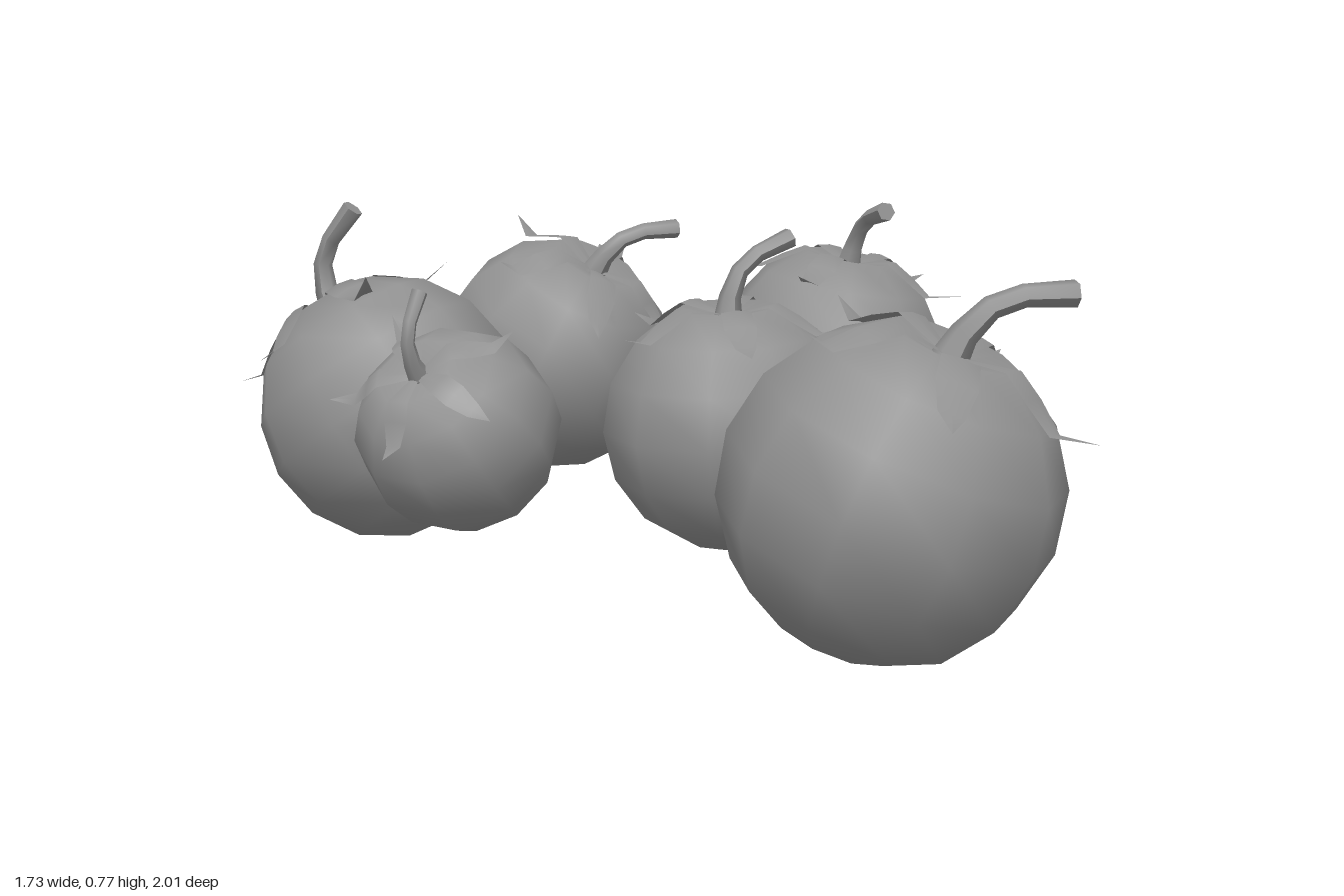
import * as THREE from 'three';

const material = new THREE.MeshStandardMaterial({ color: 0x919191 });
const leafMaterial = new THREE.MeshStandardMaterial({ color: 0x919191, side: THREE.DoubleSide });
const rad = THREE.MathUtils.degToRad;

// Fruit: ten-sided ball of unit radius with a dimple on top
function fruitGeometry() {
  const profile = [new THREE.Vector2(0, -0.96)];
  for (let i = 1; i < 8; i++) {
    const a = (i / 8) * Math.PI;
    profile.push(new THREE.Vector2(Math.sin(a), -Math.cos(a)));
  }
  profile[1].y = -0.91;
  profile.push(new THREE.Vector2(0, 0.82));
  return new THREE.LatheGeometry(profile, 10);
}

// Sepal: pointed leaf that follows the fruit, then lifts off toward its tip
function sepalGeometry(reach, tipHeight) {
  const rows = [ // [distance from axis, height, half width]
    [0.03, 0.87, 0.04],
    [0.38, 0.955, 0.115],
    [0.55, 0.86, 0.125],
    [0.74, 0.735, 0.08],
    [reach, tipHeight, 0],
  ];
  const geometry = new THREE.PlaneGeometry(2, 1, 2, rows.length - 1);
  const p = geometry.attributes.position;
  for (let i = 0; i < p.count; i++) {
    const [r, h, w] = rows[Math.floor(i / 3)];
    const side = p.getX(i);
    p.setXYZ(i, r, h - Math.abs(side) * w * 0.12, side * w);
  }
  geometry.computeVertexNormals();
  return geometry;
}

// Stem: six-sided rod bent toward +x, flared at both ends
function stemGeometry() {
  const path = [ // [x, y, radius]
    [0, 0.78, 0.12],
    [0.03, 1.0, 0.085],
    [0.12, 1.19, 0.07],
    [0.28, 1.31, 0.068],
    [0.57, 1.41, 0.08],
  ];
  const last = path.length - 1;
  const geometry = new THREE.CylinderGeometry(1, 1, 1, 6, last);
  const p = geometry.attributes.position;
  for (let i = 0; i < p.count; i++) {
    const k = Math.round((p.getY(i) + 0.5) * last);
    const [x, y, r] = path[k];
    const a = path[Math.max(k - 1, 0)], b = path[Math.min(k + 1, last)];
    const t = new THREE.Vector2(b[0] - a[0], b[1] - a[1]).normalize();
    const across = p.getX(i) * r;
    p.setXYZ(i, x + t.y * across, y - t.x * across, p.getZ(i) * r);
  }
  geometry.computeVertexNormals();
  return geometry;
}

export function createModel() {
  const group = new THREE.Group();
  group.name = 'tomatoes';
  const fruit = fruitGeometry();
  const stem = stemGeometry();
  // Sepals: angle around the stem, reach, tip height
  const sepals = [
    [-113, 0.98, 0.8], [-49, 1.04, 0.8], [46, 1, 0.8], [106, 0.97, 0.69], [174, 0.93, 0.78],
  ].map(([angle, reach, tip]) => sepalGeometry(reach, tip).rotateY(-rad(angle)));

  // Placement: centre, radius, direction of the top, turn about that direction
  const tomatoes = [
    ['frontTomato', [0.027, 0.3, 0.67], 0.32, [0.075, 0.25, 0.065], 10],
    ['middleTomato', [0.067, 0.291, -0.06], 0.27, [-0.01, 0.25, 0], 0],
    ['backTomato', [-0.057, 0.348, -0.74], 0.27, [0.07, 0.215, 0.095], -3],
    ['leftTomato', [0.575, 0.31, -0.552], 0.277, [0.035, 0.23, 0.02], 97],
    ['rightTomato', [-0.568, 0.325, -0.39], 0.278, [-0.1, 0.22, -0.105], 42],
    ['smallTomato', [-0.603, 0.373, 0.128], 0.196, [-0.105, 0.13, 0.065], -30],
  ];
  const up = new THREE.Vector3(0, 1, 0);
  for (const [name, centre, radius, top, turn] of tomatoes) {
    const tomato = new THREE.Group();
    tomato.name = name;
    const add = (part, geometry, mat) => {
      const mesh = new THREE.Mesh(geometry, mat);
      mesh.name = part;
      tomato.add(mesh);
    };
    add('fruit', fruit, material);
    add('stem', stem, material);
    sepals.forEach((sepal) => add('sepal', sepal, leafMaterial));
    tomato.position.set(...centre);
    tomato.scale.setScalar(radius);
    tomato.quaternion.setFromUnitVectors(up, new THREE.Vector3(...top).normalize());
    tomato.rotateY(-rad(turn));
    group.add(tomato);
  }
  return group;
}
